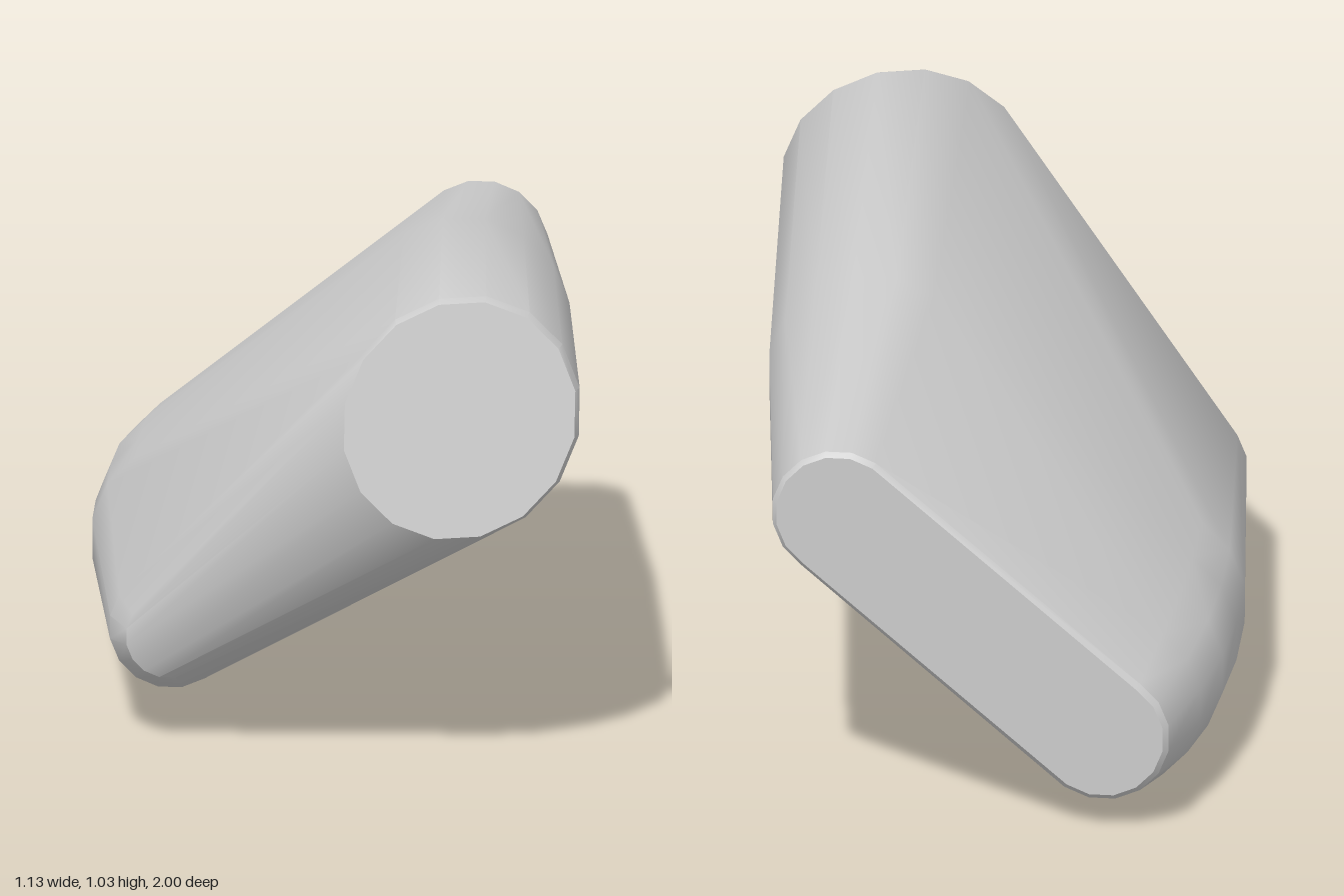
import * as THREE from 'three';
import { ConvexGeometry } from 'three/addons/geometries/ConvexGeometry.js';
import { toCreasedNormals } from 'three/addons/utils/BufferGeometryUtils.js';

const SIDES = 16;

// Ring of points around (cx, cy); z may be a number or a function of x and y.
function ring(cx, cy, r, z) {
  const points = [];
  for (let i = 0; i < SIDES; i++) {
    const a = ((i + 0.5) / SIDES) * Math.PI * 2;
    const x = cx + r * Math.cos(a);
    const y = cy + r * Math.sin(a);
    points.push(new THREE.Vector3(x, y, typeof z === 'function' ? z(x, y) : z));
  }
  return points;
}

export function createModel() {
  const group = new THREE.Group();
  group.name = 'taperedHull';

  // Tilted plane of the round front face
  const frontPlane = (x, y) => 0.895 - 0.31 * (x - 0.315) - 0.28 * (y - 0.785);

  const points = [
    // Thick upper spine: front disc, middle, narrow back
    ...ring(0.315, 0.785, 0.247, frontPlane),
    ...ring(0.315, 0.785, 0.255, (x, y) => frontPlane(x, y) - 0.02),
    ...ring(0.24, 0.725, 0.232, -0.22),
    ...ring(0.22, 0.7, 0.145, -0.988),
    ...ring(0.22, 0.7, 0.135, -1),
    // Rounded lower edge: small nose swelling to the middle, then narrowing
    ...ring(-0.33, 0.24, 0.09, 0.68),
    ...ring(-0.33, 0.24, 0.132, 0.6),
    ...ring(-0.345, 0.235, 0.217, -0.2),
    ...ring(-0.345, 0.225, 0.225, -0.4),
    ...ring(-0.35, 0.225, 0.216, -0.6),
    ...ring(-0.35, 0.225, 0.193, -0.8),
    ...ring(-0.35, 0.22, 0.147, -0.988),
    ...ring(-0.35, 0.22, 0.135, -1),
  ];

  // Skin stretched over all the rings
  const geometry = toCreasedNormals(new ConvexGeometry(points), THREE.MathUtils.degToRad(28));
  const body = new THREE.Mesh(geometry, new THREE.MeshStandardMaterial({ color: 0xcccccc }));
  body.name = 'body';
  group.add(body);
  return group;
}
